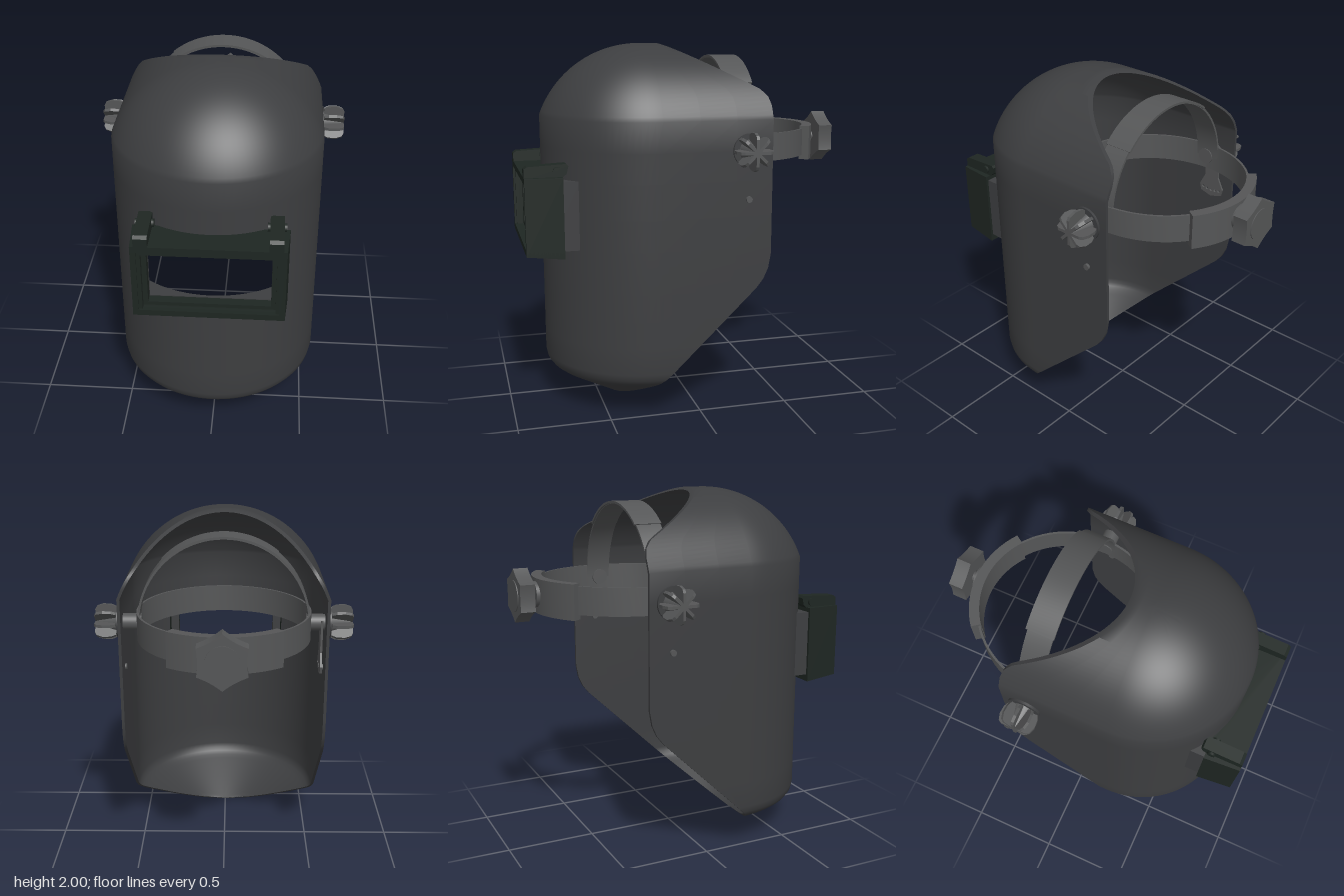
import * as THREE from 'three';
import { mergeGeometries, toCreasedNormals } from 'three/addons/utils/BufferGeometryUtils.js';

const paint = (color) => new THREE.MeshStandardMaterial({ color, side: THREE.DoubleSide });
const shellMat = paint(0x3d3e40), frameMat = paint(0x1e2622), bandMat = paint(0x555657);

const R = 0.562, ZC = 0.22; // plan radius of the mask front and the centre of that arc

function add(parent, name, geo, mat, x = 0, y = 0, z = 0) {
  const m = new THREE.Mesh(geo, mat);
  m.name = name;
  m.position.set(x, y, z);
  parent.add(m);
  return m;
}

const poly = (pts) => new THREE.Shape(pts.map(([x, y]) => new THREE.Vector2(x, y)));
const extrude = (shape, depth) => new THREE.ExtrudeGeometry(shape, { depth, bevelEnabled: false, curveSegments: 24 });
const rect = (x, y) => [[-x, -y], [x, -y], [x, y], [-x, y]];

// Rectangular plate with a rectangular opening
function ringPlate(hx, hy, ix, iy, depth) {
  const s = poly(rect(hx, hy));
  s.holes.push(poly(rect(ix, iy)));
  return extrude(s, depth);
}

// Level slab with a straight front and a back that hugs the curved mask
function hugSlab(hx, zMin, zFront, y0, y1) {
  const pts = [[-hx, zFront], [hx, zFront]];
  for (let i = 0; i <= 24; i++) {
    const x = hx * (1 - i / 12);
    pts.push([x, Math.max(zMin, ZC + Math.sqrt(R * R - x * x) - 0.008)]);
  }
  return extrude(poly(pts), y1 - y0).rotateX(Math.PI / 2).translate(0, y1, 0);
}

// Curved strip along an elliptical arc, angles in degrees
function arcBand(rx, ry, t, a0, a1, depth) {
  const n = 40, outer = [], inner = [];
  for (let i = 0; i <= n; i++) {
    const a = THREE.MathUtils.degToRad(a0 + (a1 - a0) * i / n);
    outer.push([rx * Math.cos(a), ry * Math.sin(a)]);
    inner.unshift([(rx - t) * Math.cos(a), (ry - t) * Math.sin(a)]);
  }
  return toCreasedNormals(extrude(poly([...outer, ...inner]), depth), 0.5);
}

// Back edge of the mask: z for a given height
const EDGE = [[0, 0.43], [0.7, -0.296], [0.75, -0.335], [0.81, -0.362], [0.89, -0.376],
  [1.68, -0.376], [1.725, -0.365], [1.765, -0.33], [2, 0.127]];
function edgeZ(y) {
  let i = 1;
  while (i < EDGE.length - 1 && y > EDGE[i][0]) i++;
  const [y0, z0] = EDGE[i - 1], [y1, z1] = EDGE[i];
  return z0 + (z1 - z0) * (y - y0) / (y1 - y0);
}

// Mask: a U-shaped section per height, outer skin then inner skin in one loop
function maskGeometry() {
  const prof = [];
  for (let i = 0; i < 12; i++) prof.push([0.21 + 0.3 * i / 11, 0.175 * i / 11]);
  prof.push([0.537, 0.195], [0.555, 0.22], [R, 0.255]);
  for (const y of [0.4, 0.55, 0.7, 0.725, 0.75, 0.78, 0.81, 0.85, 0.89, 0.93, 1.1, 1.29, 1.45]) prof.push([R, y]);
  for (let i = 0; i <= 28; i++) {
    const a = THREE.MathUtils.degToRad(20.5 + 69.5 * i / 28);
    prof.push([Math.max(0, 0.6 * Math.cos(a)), 1.4 + 0.6 * Math.sin(a)]);
  }
  const ARC = 24, END = 27, SIDE = 2 * END + 1, W = 2 * SIDE, T = 0.016, pos = [], idx = [];
  const place = (r, y, k) => {
    const zc = edgeZ(y), q = Math.abs(k), s = Math.sign(k);
    const max = Math.acos(r > 1e-5 ? THREE.MathUtils.clamp((zc - ZC) / r, 0, 1) : 0);
    const a = max * Math.min(1, q / ARC);
    let z = ZC + r * Math.cos(a);
    if (q > ARC && zc < ZC) z += (zc - ZC) * (q - ARC) / (END - ARC);
    pos.push(s * r * Math.sin(a), y, z);
  };
  const kOf = (m) => (m < SIDE ? m - END : END + SIDE - m);
  prof.forEach(([r, y], i) => {
    const p = prof[Math.max(0, i - 1)], q = prof[Math.min(prof.length - 1, i + 1)];
    const dr = q[0] - p[0], dy = q[1] - p[1], l = Math.hypot(dr, dy);
    for (let m = 0; m < W; m++) {
      if (m < SIDE) place(r, y, kOf(m));
      else place(Math.max(0, r - T * dy / l), y + T * dr / l, kOf(m));
    }
  });
  for (let i = 0; i < prof.length - 1; i++) {
    const inWindow = prof[i][1] > 0.92 && prof[i + 1][1] < 1.3;
    for (let m = 0; m < W; m++) {
      const n = (m + 1) % W;
      if (inWindow && Math.abs(kOf(m)) <= 11 && Math.abs(kOf(n)) <= 11) continue;
      const a = i * W + m, b = i * W + n;
      idx.push(a, b, b + W, a, b + W, a + W);
    }
  }
  const g = new THREE.BufferGeometry();
  g.setAttribute('position', new THREE.Float32BufferAttribute(pos, 3));
  g.setIndex(idx);
  return toCreasedNormals(g, 0.6);
}

function windowFrame() {
  const g = new THREE.Group();
  g.name = 'windowFrame';
  const side = (s) => new THREE.BoxGeometry(0.03, 0.43, 0.2).translate(s * 0.382, 1.1, 0.812).toNonIndexed();
  const body = mergeGeometries([hugSlab(0.397, 0.712, 0.912, 1.285, 1.32),
    hugSlab(0.397, 0.712, 0.912, 0.885, 0.918), side(1), side(-1)]);
  // slight taper toward the front
  const p = body.attributes.position;
  for (let i = 0; i < p.count; i++) {
    const t = (p.getZ(i) - 0.712) / 0.2;
    p.setX(i, p.getX(i) * (1 - 0.035 * t));
    if (p.getY(i) < 1) p.setY(i, p.getY(i) + 0.02 * t);
  }
  body.computeVertexNormals();
  add(g, 'frameBody', body, frameMat);
  add(g, 'bezel', ringPlate(0.365, 0.19, 0.335, 0.165, 0.03), frameMat, 0, 1.1, 0.87);
  add(g, 'innerBezel', ringPlate(0.36, 0.185, 0.312, 0.147, 0.05), frameMat, 0, 1.1, 0.81);
  // hinge lugs along the top corners
  const lug = extrude(poly([[0.912, 1.31], [0.912, 1.365], [0.895, 1.378], [0.69, 1.388], [0.68, 1.375], [0.69, 1.335], [0.72, 1.31]]), 0.07)
    .rotateY(-Math.PI / 2);
  for (const s of [-1, 1]) {
    add(g, 'hingeLug', lug, frameMat, s * 0.33 + 0.035);
    add(g, 'hingePin', new THREE.CylinderGeometry(0.022, 0.022, 0.095, 16).rotateZ(Math.PI / 2), frameMat, s * 0.33, 1.352, 0.74);
  }
  return g;
}

// Box-shaped recess in the mask that carries the window frame
function windowBox() {
  const g = new THREE.Group();
  g.name = 'windowBox';
  add(g, 'topWall', hugSlab(0.382, 0.6, 0.8, 1.28, 1.295), shellMat);
  add(g, 'bottomWall', hugSlab(0.382, 0.6, 0.8, 0.925, 0.94), shellMat);
  for (const s of [-1, 1]) add(g, 'sideWall', new THREE.BoxGeometry(0.015, 0.37, 0.175), shellMat, s * 0.375, 1.11, 0.7125);
  add(g, 'frontPlate', ringPlate(0.38, 0.18, 0.312, 0.147, 0.015), shellMat, 0, 1.1, 0.79);
  return g;
}

// Winged tightening knob with washer, pivot and rivet, facing +x
function sideKnob() {
  const g = new THREE.Group();
  g.name = 'sideKnob';
  const disc = (r, w, n = 32) => new THREE.CylinderGeometry(r, r, w, n).rotateZ(Math.PI / 2);
  add(g, 'washer', disc(0.09, 0.02), shellMat, 0.565);
  add(g, 'pivot', disc(0.045, 0.14), bandMat, 0.515);
  add(g, 'hub', new THREE.CylinderGeometry(0.025, 0.06, 0.11, 24).rotateZ(-Math.PI / 2), bandMat, 0.63);
  add(g, 'rivet', disc(0.017, 0.04, 16), bandMat, 0.557, -0.26, 0);
  const wing = extrude(poly([[0.58, 0], [0.58, 0.085], [0.605, 0.097], [0.65, 0.1], [0.685, 0.088], [0.695, 0.07], [0.695, 0]]), 0.016)
    .translate(0, 0, -0.008);
  for (let i = 0; i < 8; i++) add(g, 'knobWing', wing, bandMat).rotation.x = i * Math.PI / 4;
  return g;
}

function headgear() {
  const g = new THREE.Group();
  g.name = 'headgear';
  const flat = (geo, h, top) => geo.rotateX(Math.PI / 2).translate(0, top, -0.25);
  add(g, 'headbandFront', flat(arcBand(0.47, 0.5, 0.012, 0, 180, 0.15), 0.15, 1.525), bandMat);
  add(g, 'headbandBack', flat(arcBand(0.47, 0.5, 0.012, 180, 360, 0.15), 0.15, 1.525), bandMat);
  add(g, 'adjusterHousing', flat(arcBand(0.505, 0.54, 0.055, 233, 304, 0.19), 0.19, 1.54), bandMat);
  // crown strap in two overlapping lengths
  add(g, 'crownStrap', arcBand(0.465, 0.48, 0.012, 0, 180, 0.14), bandMat, 0, 1.45, -0.325);
  add(g, 'crownStrapOverlap', arcBand(0.473, 0.488, 0.012, 45, 128, 0.155), bandMat, 0, 1.445, -0.335);
  // rear six-sided knob with scooped sides
  const s = new THREE.Shape();
  for (let i = 0; i <= 6; i++) {
    const a = Math.PI / 6 + i * Math.PI / 3, m = a - Math.PI / 6;
    const x = 0.145 * Math.cos(a), y = 0.145 * Math.sin(a);
    if (i) s.quadraticCurveTo(0.112 * Math.cos(m), 0.112 * Math.sin(m), x, y);
    else s.moveTo(x, y);
  }
  add(g, 'rearKnob', extrude(s, 0.08), bandMat, 0, 1.452, -0.91);
  const disc = (r, d) => new THREE.CylinderGeometry(r, r, d, 32).rotateX(Math.PI / 2);
  add(g, 'rearKnobCap', disc(0.085, 0.02), bandMat, 0, 1.452, -0.905);
  add(g, 'rearShaft', disc(0.03, 0.1), bandMat, 0, 1.452, -0.79);
  add(g, 'rearCollar', disc(0.07, 0.03), bandMat, 0, 1.452, -0.79);
  return g;
}

// Tilt adjustment plate with a row of holes, inside the right wall
function tiltPlate() {
  const s = poly([[-0.045, 0.3], [-0.045, 0.12], [-0.08, 0.05], [-0.07, 0.01], [0, -0.01], [0.07, 0.01], [0.08, 0.05], [0.045, 0.12], [0.045, 0.3]]);
  for (let i = -2; i <= 2; i++) {
    s.holes.push(new THREE.Path().absarc(i * 0.028, 0.03 + i * i * 0.002, 0.009, 0, Math.PI * 2));
  }
  return extrude(s, 0.012).rotateY(Math.PI / 2);
}

export function createModel() {
  const model = new THREE.Group();
  model.name = 'weldingMask';
  add(model, 'maskShell', maskGeometry(), shellMat);
  model.add(windowBox(), windowFrame(), headgear());
  for (const turn of [0, Math.PI]) {
    const k = sideKnob();
    k.position.set(0, 1.452, -0.245);
    k.rotation.y = turn;
    model.add(k);
  }
  add(model, 'tiltPlate', tiltPlate(), bandMat, -0.535, 1.17, -0.245);
  return model;
}
